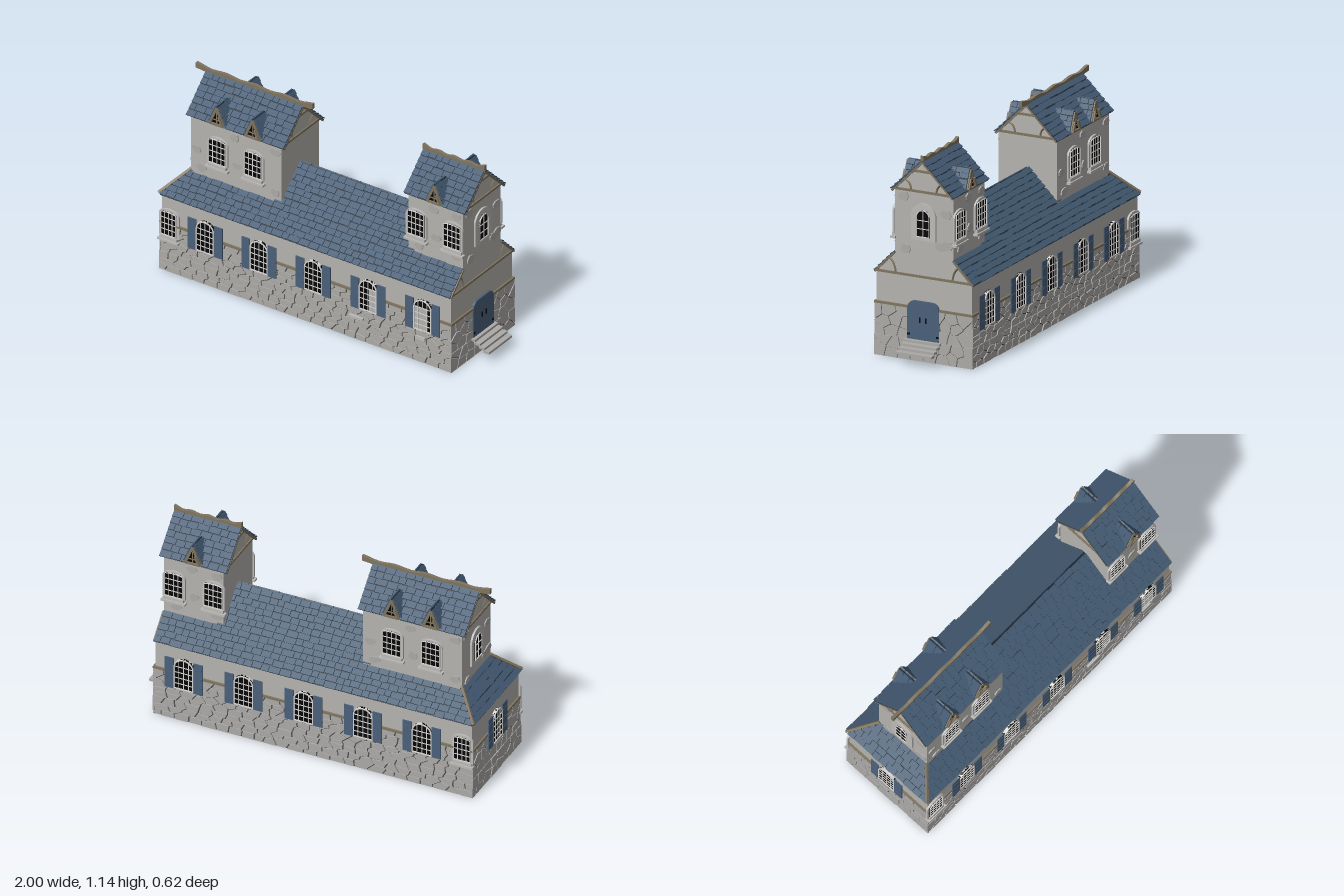
import * as THREE from 'three';
import { mergeGeometries } from 'three/addons/utils/BufferGeometryUtils.js';

const mat = (name, color, side = THREE.FrontSide) =>
  Object.assign(new THREE.MeshStandardMaterial({ color, side, flatShading: true }), { name });

let seed = 7;
const rand = () => (seed = (seed * 16807) % 2147483647) / 2147483647;
const V = (x, y, z) => new THREE.Vector3(x, y, z);
const box = (w, h, d, x, y, z) => new THREE.BoxGeometry(w, h, d).translate(x, y, z);
const extrude = (shape, depth) =>
  new THREE.ExtrudeGeometry(shape, { depth, bevelEnabled: false, curveSegments: 10 });
const poly = pts => new THREE.Shape(pts.map(p => new THREE.Vector2(p[0], p[1])));

// One mesh merged from several geometries
function part(parent, name, material, geos) {
  const list = geos.map(g => (g.index ? g.toNonIndexed() : g));
  const mesh = new THREE.Mesh(mergeGeometries(list), material);
  mesh.name = name;
  parent.add(mesh);
  return mesh;
}

function arch(w, h, rise, Type = THREE.Shape, y = 0) {
  const s = new Type();
  s.moveTo(-w / 2, y);
  s.lineTo(w / 2, y);
  s.lineTo(w / 2, y + h - rise);
  s.absellipse(0, y + h - rise, w / 2, rise, 0, Math.PI, false);
  s.closePath();
  return s;
}

// Straight timber between two points
function beam(a, b, t, d) {
  const dir = b.clone().sub(a), len = dir.length();
  const q = new THREE.Quaternion().setFromUnitVectors(V(0, 1, 0), dir.normalize());
  const m = new THREE.Matrix4().compose(a.clone().add(b).multiplyScalar(0.5), q, V(1, 1, 1));
  return new THREE.BoxGeometry(d, len, t).applyMatrix4(m);
}
const brace = (a, c, b, r = 0.006) =>
  new THREE.TubeGeometry(new THREE.QuadraticBezierCurve3(a, c, b), 6, r, 4);

// Random rubble cells: each jittered seed keeps the area nearest to it
function rubble(w, h, nx, ny, stretch) {
  const seeds = [], gap = 0.002, out = [], W = w / stretch;
  for (let j = 0; j < ny; j++) for (let i = 0; i < nx; i++)
    seeds.push([((i + 0.5 + (j % 2 - 0.5) * 0.4 + (rand() - 0.5) * 0.6) / nx - 0.5) * W,
      (j + 0.5 + (rand() - 0.5) * 0.6) / ny * h]);
  const clip = (pts, nX, nY, d) => pts.flatMap((p, i) => {
    const q = pts[(i + 1) % pts.length];
    const a = p[0] * nX + p[1] * nY - d, b = q[0] * nX + q[1] * nY - d, t = a / (a - b);
    const cut = [p[0] + (q[0] - p[0]) * t, p[1] + (q[1] - p[1]) * t];
    return a <= 0 ? (b <= 0 ? [p] : [p, cut]) : (b <= 0 ? [cut] : []);
  });
  for (const s of seeds) {
    let c = [[-W / 2, 0.001], [W / 2, 0.001], [W / 2, h], [-W / 2, h]];
    for (const o of seeds) {
      const dx = o[0] - s[0], dy = o[1] - s[1], l = Math.hypot(dx, dy);
      if (!l || l > 0.3) continue;
      const nX = dx / l, nY = dy / l;
      c = clip(c, nX, nY, s[0] * nX + s[1] * nY + l / 2 - gap);
    }
    if (c.length > 2) out.push(extrude(poly(c), 0.006 + rand() * 0.004).scale(stretch, 1, 1));
  }
  return out;
}

// Loose flat stone set in the plaster
function looseStone(x, y, r) {
  const pts = [];
  for (let i = 0; i < 7; i++) {
    const a = i / 7 * Math.PI * 2, k = r * (0.8 + rand() * 0.35);
    pts.push([x + Math.cos(a) * k, y + Math.sin(a) * k * 0.75]);
  }
  return extrude(poly(pts), 0.007);
}

export function createModel() {
  const root = new THREE.Group();
  const M = {
    plaster: mat('plaster', 0xb5b3af, THREE.DoubleSide), stone: mat('stone', 0xacaaa7),
    dressed: mat('dressedStone', 0xbdbbb8), mortar: mat('mortar', 0x4a4845),
    tile: mat('roofTile', 0x435a72), gap: mat('roofGap', 0x1f2a36, THREE.DoubleSide),
    wood: mat('wood', 0x7f745f), paint: mat('bluePaint', 0x4a6079),
    frame: mat('windowFrame', 0xd8d7d5), glass: mat('darkGlass', 0x060607, THREE.DoubleSide),
  };
  const group = (name, x = 0, y = 0, z = 0, ry = 0, parent = root) => {
    const g = new THREE.Group();
    g.name = name; g.position.set(x, y, z); g.rotation.y = ry;
    parent.add(g);
    return g;
  };

  // Rows of separate tiles on a slope: u runs along the eave, v up the slope
  function tiledSlope(parent, name, origin, u, v, len, rows, range) {
    u.normalize(); v.normalize();
    const m = new THREE.Matrix4().makeBasis(u, v, u.clone().cross(v)).setPosition(origin);
    const under = [], tiles = [], p = len / rows;
    for (let r = 0; r < rows; r++) {
      const [a, b] = range((r + 0.5) * p), y = (r + 0.5) * p;
      under.push(box(b - a, p, 0.004, (a + b) / 2, y, 0));
      for (let x = a; x < b - 0.001;) {
        let w = 0.035 + rand() * 0.035;
        if (b - x - w < 0.025) w = b - x;
        tiles.push(new THREE.BoxGeometry(w - 0.003, p - 0.003, 0.008).rotateX(-0.15)
          .translate(x + w / 2, y + (rand() - 0.5) * 0.006, 0.007));
        x += w;
      }
    }
    part(parent, name + 'Underlay', M.gap, under).applyMatrix4(m);
    part(parent, name + 'Tiles', M.tile, tiles).applyMatrix4(m);
  }

  // Arched window facing +z, with its base at y = 0
  function windowUnit(g, w, h, rise, cols, rows, o = {}) {
    const rim = o.rim ?? 0.006, border = arch(w, h, rise);
    border.holes.push(arch(w - rim * 2, h - rim * 2, rise - rim / 2, THREE.Path, rim));
    if (o.surround) part(g, 'windowSurround', M.dressed,
      [extrude(arch(w + o.surround * 2, h + o.surround * 1.6, o.crown), 0.011).translate(0, -o.surround * 0.6, 0)]);
    part(g, 'windowPane', M.glass, [extrude(arch(w, h, rise), 0.013)]);
    // Light wall seen through part of the pane, given as [left, right]
    if (o.pale) part(g, 'paleGlimpse', M.plaster,
      [box(o.pale[1] - o.pale[0], h - rise, 0.001, (o.pale[0] + o.pale[1]) / 2, (h - rise) / 2 + 0.004, 0.0133)]);
    const bars = [extrude(border, 0.018)];
    for (let i = 1; i < cols; i++) {
      const x = (i / cols - 0.5) * w, top = h - rise + rise * Math.sqrt(1 - (2 * x / w) ** 2);
      bars.push(box(0.004, top, 0.004, x, top / 2, 0.0145));
    }
    for (let j = 1; j < rows; j++) bars.push(box(w - 0.01, 0.004, 0.004, 0, j / rows * (h - rise * 0.3), 0.0145));
    part(g, 'windowBars', M.frame, bars);
    if (o.sill) part(g, 'windowSill', M.dressed,
      [box(w + 0.035, 0.012, 0.03, 0, -0.03, 0.01), box(w + 0.01, 0.02, 0.018, 0, -0.015, 0.009)]);
    if (o.shutters) for (const s of [-1, 1]) {
      const leaf = [box(0.053, h, 0.006, s * (w / 2 + 0.027), h / 2 - 0.003, 0.014)];
      for (const y of [0.2, 0.5, 0.8]) leaf.push(box(0.047, 0.008, 0.004, s * (w / 2 + 0.027), h * y, 0.017));
      part(g, 'shutter', M.paint, leaf);
    }
    // Pane seen from the open inside of the hall
    if (o.inner) {
      part(g, 'innerPane', M.glass, [new THREE.ShapeGeometry(arch(w, h, rise)).translate(0, 0, -0.003)]);
      part(g, 'innerBars', M.frame, bars.map(b => b.clone().rotateY(Math.PI).translate(0, 0, 0.008)));
    }
  }

  // Hall walls, open underneath
  const hall = new THREE.BoxGeometry(1.855, 0.465, 0.57).translate(-0.05, 0.2325, 0);
  hall.setIndex([...hall.index.array].filter((_, i) => Math.floor(i / 6) !== 3));
  part(root, 'hallWalls', M.plaster, [hall]);
  const endGable = poly([[-0.285, 0.46], [0.285, 0.46], [0.175, 0.58], [-0.175, 0.58]]);
  part(root, 'endGable', M.plaster, [extrude(endGable, 0.02).rotateY(Math.PI / 2).translate(0.8575, 0, 0)]);

  // Rubble base and timber rail on all four sides
  for (const [x, z, ry, w, n, lower, upper, k] of [
    [-0.05, 0.285, 0, 1.86, 25, 3, 5, 1.8], [-0.05, -0.285, Math.PI, 1.86, 25, 3, 5, 1.8],
    [0.8775, 0, Math.PI / 2, 0.58, 8, 2, 3, 1.15], [-0.9775, 0, -Math.PI / 2, 0.58, 8, 2, 3, 1.15]]) {
    const g = group('stoneBase', x, 0, z, ry);
    part(g, 'mortar', M.mortar, [box(w, 0.288, 0.003, 0, 0.144, 0.002)]);
    part(g, 'lowerStones', M.stone, rubble(w + 0.012, 0.115, n, lower, k).map(s => s.translate(0, 0, 0.002)));
    part(g, 'upperStones', M.stone, rubble(w + 0.008, 0.172, n, upper, k).map(s => s.translate(0, 0.116, 0.001)));
    part(g, 'timberRail', M.wood, [box(w + 0.01, 0.012, 0.011, 0, 0.294, 0.0055)]);
  }
  part(root, 'projectingStones', M.dressed,
    [box(0.09, 0.014, 0.02, 0.28, 0.14, 0.297), box(0.06, 0.02, 0.016, 0.69, 0.15, 0.295)]);

  // Hall windows
  for (const s of [1, -1]) {
    const ry = s > 0 ? 0 : Math.PI;
    for (const x of [-0.69, -0.345, 0.003, 0.355, 0.705]) {
      const pale = s < 0 || x < 0.3 ? null : x < 0.5 ? [0.005, 0.052] : [-0.052, 0.03];
      windowUnit(group('hallWindow', x, 0.2, s * 0.285, ry), 0.115, 0.19, 0.05, 4, 5, { shutters: true, inner: true, pale });
    }
    windowUnit(group('cornerWindow', -0.925, 0.225, s * 0.285, ry), 0.098, 0.145, 0.01, 4, 4,
      { surround: 0.015, crown: 0.035, inner: true, sill: true, rim: 0.003 });
  }
  windowUnit(group('endWindow', -0.9775, 0.2, 0, -Math.PI / 2), 0.115, 0.19, 0.05, 4, 5, { shutters: true, inner: true });

  // Double door and steps
  const door = group('door', 0.8775, 0.12, 0, Math.PI / 2), ds = new THREE.Shape();
  ds.moveTo(-0.095, 0); ds.lineTo(0.095, 0); ds.lineTo(0.095, 0.165);
  ds.quadraticCurveTo(0.092, 0.213, 0.045, 0.213); ds.lineTo(-0.045, 0.213);
  ds.quadraticCurveTo(-0.092, 0.213, -0.095, 0.165);
  part(door, 'doorLeaves', M.paint, [extrude(ds, 0.014)]);
  part(door, 'doorIron', M.glass, [-1, 1].flatMap(s =>
    [box(0.006, 0.03, 0.006, s * 0.019, 0.11, 0.016), box(0.014, 0.01, 0.004, s * 0.086, 0.027, 0.015)]));
  const steps = [];
  for (let i = 0; i < 4; i++) steps.push(box(0.036, 0.013, 0.216, 0.893 + i * 0.0297, 0.113 - i * 0.0155, 0));
  part(root, 'steps', M.stone, steps);
  part(root, 'stepRisers', M.stone, [0, 1, 2].map(i => box(0.012, 0.014, 0.2, 0.9 + i * 0.0297, 0.103 - i * 0.0155, 0)));

  // Long roof with a hipped left end
  const range = v => (v * 0.713 < 0.13 ? [-0.995 + v * 0.713, 0.882] : [-0.33, 0.57]);
  tiledSlope(root, 'frontRoof', V(0, 0.458, 0.296), V(1, 0, 0), V(0, 0.3, -0.296), 0.42, 12, range);
  tiledSlope(root, 'backRoof', V(0, 0.458, -0.296), V(-1, 0, 0), V(0, 0.3, 0.296), 0.42, 12,
    v => range(v).map(x => -x).reverse());
  tiledSlope(root, 'hipRoof', V(-0.99, 0.458, 0), V(0, 0, 1), V(1, 1, 0), 0.19, 5, v => [-0.296 + v * 0.707, 0.296 - v * 0.707]);
  const hallTimber = [box(0.012, 0.012, 0.57, 0.88, 0.468, 0)];
  for (const s of [-1, 1]) {
    hallTimber.push(beam(V(-0.992, 0.47, s * 0.295), V(-0.865, 0.602, s * 0.17), 0.014, 0.014),
      beam(V(0.882, 0.46, s * 0.294), V(0.882, 0.58, s * 0.176), 0.01, 0.01),
      brace(V(0.878, 0.47, s * 0.17), V(0.878, 0.525, s * 0.175), V(0.878, 0.545, s * 0.205)));
  }
  part(root, 'hallTimber', M.wood, hallTimber);

  // Towers with gables, dormers and a bowed ridge beam
  function tower(name, x0, x1, ridge, windows, dormers) {
    const t = group(name), cx = (x0 + x1) / 2, half = (x1 - x0) / 2 + 0.023;
    const wall = poly([[-0.175, 0.5], [0.175, 0.5], [0.175, 0.94], [0, 1.1], [-0.175, 0.94]]);
    part(t, 'towerWalls', M.plaster, [extrude(wall, x1 - x0).rotateY(Math.PI / 2).translate(x0, 0, 0)]);
    for (const s of [1, -1]) {
      tiledSlope(t, 'towerRoof', V(cx, 0.93, s * 0.186), V(s, 0, 0), V(0, 0.18, -s * 0.186), 0.259, 7, () => [-half, half]);
      const ry = s > 0 ? 0 : Math.PI;
      for (const x of windows)
        windowUnit(group('towerWindow', x, 0.695, s * 0.175, ry, t), 0.108, 0.148, 0.01, 4, 4,
          { surround: 0.012, crown: 0.04, sill: true, rim: 0.003 });
      const g = group('looseStones', cx, 0, s * 0.175, ry, t), e = (x1 - x0) / 2 - 0.04;
      const spots = [[-e, 0.74], [-e + 0.03, 0.63], [e, 0.89], [e, 0.64], [0.005, 0.72], [-0.01, 0.89]];
      part(g, 'stones', M.stone, spots.map(p => looseStone(p[0], p[1], 0.032)));
      for (const x of dormers) dormer(t, x, s);
    }
    // Half-timbering on both gables
    for (const [x, d] of [[x0, -1], [x1, 1]]) {
      const w = [box(0.012, 0.012, 0.35, x + d * 0.003, 0.938, 0), box(0.012, 0.012, 0.11, x + d * 0.003, 1.05, 0)];
      for (const s of [-1, 1]) w.push(
        beam(V(x + d * 0.019, 0.927, s * 0.182), V(x + d * 0.019, 1.106, 0), 0.01, 0.01),
        brace(V(x + d * 0.003, 0.94, s * 0.075), V(x + d * 0.003, 0.99, s * 0.08), V(x + d * 0.003, 0.995, s * 0.115)));
      part(t, 'gableTimber', M.wood, w);
    }
    const [r0, r1] = ridge, n = 24, top = [], low = [];
    for (let i = 0; i <= n; i++) {
      const k = i / n, x = r0 + (r1 - r0) * k, lift = 0.01 * (2 * k - 1) ** 4 + 0.005 * Math.cos(k * Math.PI * 8);
      top.unshift([x, 1.13 + lift]);
      low.push([x, 1.107 + lift * 0.4]);
    }
    part(t, 'ridgeBeam', M.wood, [extrude(poly([...low, ...top]), 0.018).translate(0, 0, -0.009)]);
  }

  function dormer(t, x, s) {
    const g = group('dormer', x, 0, 0, s > 0 ? 0 : Math.PI, t);
    part(g, 'dormerFront', M.glass, [extrude(poly([[-0.042, 0.938], [0.042, 0.938], [0, 1.036]]), 0.01).translate(0, 0, 0.178)]);
    const w = [box(0.005, 0.08, 0.006, 0, 0.978, 0.19), box(0.05, 0.005, 0.006, 0, 0.968, 0.19), box(0.08, 0.01, 0.016, 0, 0.942, 0.192)];
    for (const k of [-1, 1]) {
      w.push(beam(V(k * 0.046, 0.935, 0.19), V(0, 1.043, 0.19), 0.008, 0.014),
        beam(V(k * 0.04, 0.94, 0.198), V(k * 0.018, 0.995, 0.198), 0.01, 0.012));
      tiledSlope(g, 'dormerRoof', V(k * 0.05, 0.937, 0), V(0, 0, -k), V(-k * 0.05, 0.115, 0), 0.122, 4,
        v => { const a = 0.165 - v * 0.9; return k > 0 ? [-0.188, -a] : [a, 0.188]; });
    }
    part(g, 'dormerTimber', M.wood, w);
  }
  tower('leftTower', -0.865, -0.285, [-0.95, -0.2], [-0.69, -0.46], [-0.69, -0.46]);
  tower('rightTower', 0.53, 0.8785, [0.505, 0.902], [0.585, 0.818], [0.705]);

  // Outer tower ends: arched window and scattered stones
  for (const [x, ry] of [[0.8785, Math.PI / 2], [-0.865, -Math.PI / 2]]) {
    const g = group('towerEnd', x, 0, 0, ry);
    windowUnit(group('endArchWindow', 0, 0.69, 0, 0, g), 0.08, 0.15, 0.04, 2, 3, { surround: 0.034, crown: 0.07, rim: 0.004 });
    part(g, 'endStones', M.stone,
      [[-0.125, 0.9], [0.13, 0.83], [0.1, 0.645], [0.14, 0.66], [-0.11, 0.61]].map(p => looseStone(p[0], p[1], 0.034)));
  }
  return root;
}
